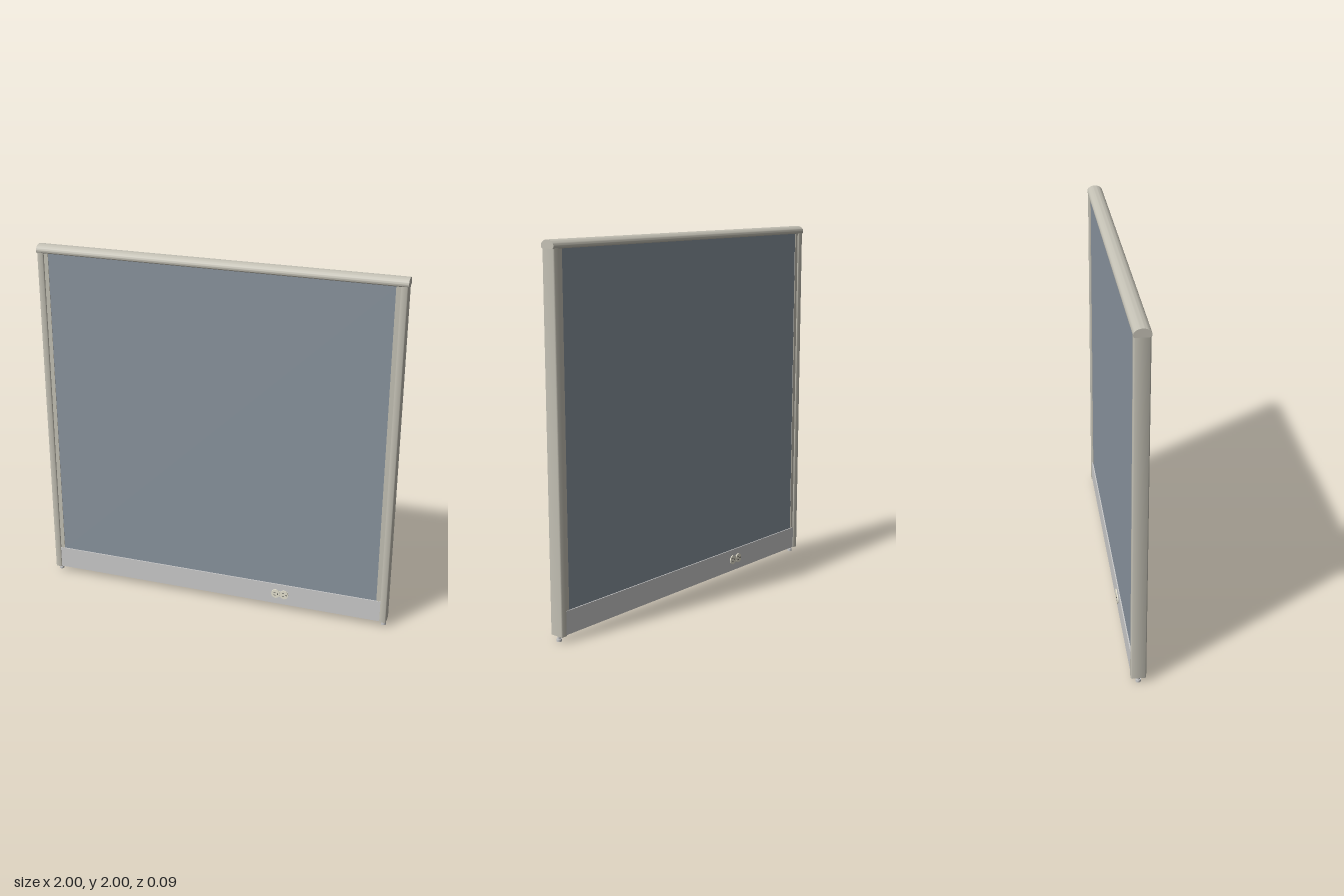
import * as THREE from 'three';
import { toCreasedNormals } from 'three/addons/utils/BufferGeometryUtils.js';

const mat = (color) => new THREE.MeshStandardMaterial({ color });
const beige = mat(0xc4c1b5), grey = mat(0xcccccc), fabric = mat(0x8a949f);
const cream = mat(0xe6e2d0), dark = mat(0x444444);

function add(parent, name, geometry, material, x = 0, y = 0, z = 0) {
  const mesh = new THREE.Mesh(geometry, material);
  mesh.name = name;
  mesh.position.set(x, y, z);
  parent.add(mesh);
  return mesh;
}

const box = (w, h, d) => new THREE.BoxGeometry(w, h, d);
const extrude = (shape, depth) => toCreasedNormals(
  new THREE.ExtrudeGeometry(shape, { depth, bevelEnabled: false, curveSegments: 10 }), 0.6);

// Rectangle with rounded corners, centred on the origin
function roundedRect(w, h, r) {
  const x = w / 2 - r, y = h / 2 - r, s = new THREE.Shape();
  s.absarc(x, y, r, 0, Math.PI / 2);
  s.absarc(-x, y, r, Math.PI / 2, Math.PI);
  s.absarc(-x, -y, r, Math.PI, Math.PI * 1.5);
  s.absarc(x, -y, r, Math.PI * 1.5, Math.PI * 2);
  s.closePath();
  return s;
}

// Double power socket facing +z
function makeOutlet() {
  const outlet = new THREE.Group();
  outlet.name = 'outlet';
  add(outlet, 'outletPlate', box(0.09, 0.034, 0.003), cream, 0, 0, 0.0015);
  for (const s of [-1, 1]) {
    const face = add(outlet, 'socketFace', new THREE.CylinderGeometry(0.027, 0.027, 0.006, 12), cream, s * 0.025, 0, 0.003);
    face.rotation.x = Math.PI / 2;
    face.scale.x = 0.9;
    for (const t of [-1, 1]) {
      add(outlet, 'socketSlot', box(0.012, 0.003, 0.001), dark, s * 0.025 - 0.004, t * 0.009, 0.0062);
    }
    const pin = add(outlet, 'socketGroundHole', new THREE.CylinderGeometry(0.004, 0.004, 0.001, 10), dark, s * 0.025 + 0.013, 0, 0.0062);
    pin.rotation.x = Math.PI / 2;
  }
  return outlet;
}

export function createModel() {
  const model = new THREE.Group();
  model.name = 'officePartition';

  // Fabric panel
  add(model, 'fabricPanel', box(1.9, 1.82, 0.06), fabric, 0, 1.05, 0);

  // Base raceway with a small ledge over the fabric
  add(model, 'basePanel', box(1.93, 0.125, 0.072), grey, 0, 0.0975, 0);

  // End posts, fabric edge strips and levelling feet
  const postGeo = extrude(roundedRect(0.037, 0.08, 0.007), 1.93).rotateX(-Math.PI / 2);
  for (const s of [-1, 1]) {
    add(model, 'endPost', postGeo, beige, s * 0.9785, 0.032, 0);
    add(model, 'edgeStrip', box(0.03, 1.8, 0.066), beige, s * 0.952, 1.06, 0);
    add(model, 'footStem', new THREE.CylinderGeometry(0.009, 0.009, 0.04, 12), grey, s * 0.979, 0.025, 0);
    add(model, 'footPad', new THREE.CylinderGeometry(0.014, 0.014, 0.014, 16), grey, s * 0.979, 0.007, 0);
  }

  // Domed top cap running the full width
  const cap = new THREE.Shape();
  cap.moveTo(-0.036, 1.953);
  cap.lineTo(0.036, 1.953);
  cap.quadraticCurveTo(0.043, 1.956, 0.043, 1.966);
  cap.absellipse(0, 1.966, 0.043, 0.03, 0, Math.PI, false, 0);
  cap.quadraticCurveTo(-0.043, 1.956, -0.036, 1.953);
  add(model, 'topCap', extrude(cap, 2).rotateY(Math.PI / 2), beige, -1, 0, 0);

  // One outlet on each face, turned half a circle about the centre
  for (const s of [1, -1]) {
    const outlet = makeOutlet();
    outlet.position.set(s * 0.39, 0.1, s * 0.036);
    if (s < 0) outlet.rotation.y = Math.PI;
    model.add(outlet);
  }
  return model;
}
